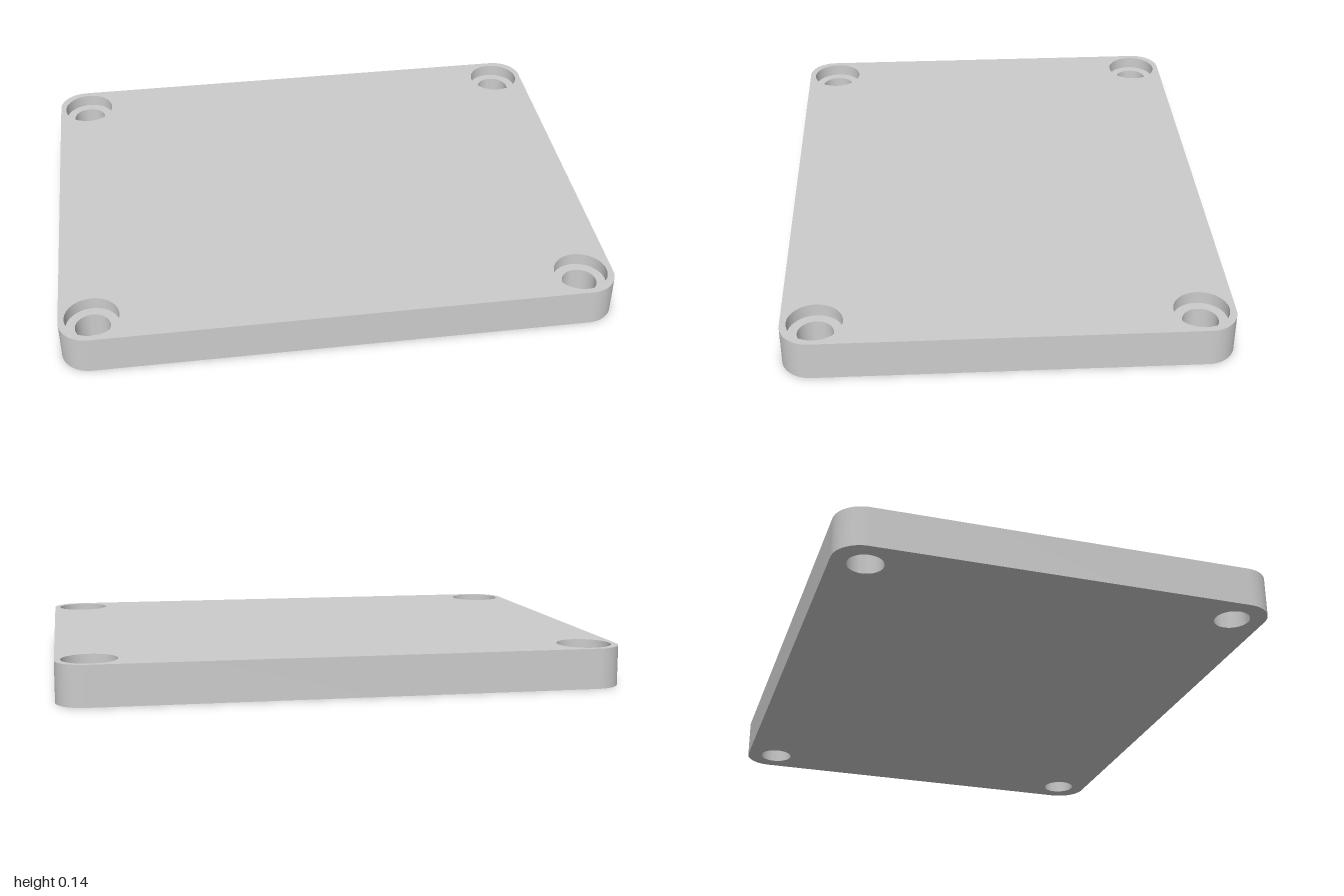
import * as THREE from 'three';
import { toCreasedNormals } from 'three/addons/utils/BufferGeometryUtils.js';

const W = 1, D = 0.78, H = 0.145, CORNER = 0.105;  // half width, half depth, height
const HX = 0.882, HZ = 0.661;                      // screw hole centres
const R_HOLE = 0.063, R_BORE = 0.097, LEDGE = H - 0.047;
const SEG = 48;

// Rounded rectangle, optionally pierced by four holes of radius r
function plateShape(r) {
  const s = new THREE.Shape();
  const q = Math.PI / 2, x = W - CORNER, y = D - CORNER;
  [[x, y], [-x, y], [-x, -y], [x, -y]].forEach(([cx, cy], i) =>
    s.absarc(cx, cy, CORNER, i * q, (i + 1) * q, false));
  s.closePath();
  if (r) for (const sx of [-1, 1]) for (const sy of [-1, 1]) {
    const hole = new THREE.Path();
    hole.absarc(sx * HX, sy * HZ, r, 0, Math.PI * 2, true);
    s.holes.push(hole);
  }
  return s;
}

export function createModel() {
  const group = new THREE.Group();
  group.name = 'mountingPlate';
  const material = new THREE.MeshStandardMaterial({ color: 0xcccccc });
  const add = (name, geometry) => {
    const mesh = new THREE.Mesh(geometry, material);
    mesh.name = name;
    group.add(mesh);
    return mesh;
  };

  // Flat faces: wide holes above, narrow holes below
  add('topFace', new THREE.ShapeGeometry(plateShape(R_BORE), SEG / 2).rotateX(-Math.PI / 2).translate(0, H, 0));
  add('bottomFace', new THREE.ShapeGeometry(plateShape(R_HOLE), SEG / 2).rotateX(Math.PI / 2));

  // Outer wall: only the sides of an extrusion, without its caps
  const solid = new THREE.ExtrudeGeometry(plateShape(0), { depth: H, bevelEnabled: false, curveSegments: 16 });
  const { start, count } = solid.groups[1];
  const wall = new THREE.BufferGeometry();
  wall.setAttribute('position', new THREE.BufferAttribute(
    solid.attributes.position.array.slice(start * 3, (start + count) * 3), 3));
  wall.rotateX(-Math.PI / 2);
  add('outerWall', toCreasedNormals(wall, 0.6));

  // Counterbored screw holes, profile running downwards so it faces inwards
  const profile = [[R_BORE, H], [R_BORE, LEDGE], [R_HOLE, LEDGE], [R_HOLE, 0]]
    .map(([r, y]) => new THREE.Vector2(r, y));
  const bore = toCreasedNormals(new THREE.LatheGeometry(profile, SEG), 0.6);
  for (const sx of [-1, 1]) for (const sz of [-1, 1]) {
    const name = (sz > 0 ? 'front' : 'back') + (sx > 0 ? 'Left' : 'Right') + 'ScrewHole';
    add(name, bore).position.set(sx * HX, 0, sz * HZ);
  }
  return group;
}
